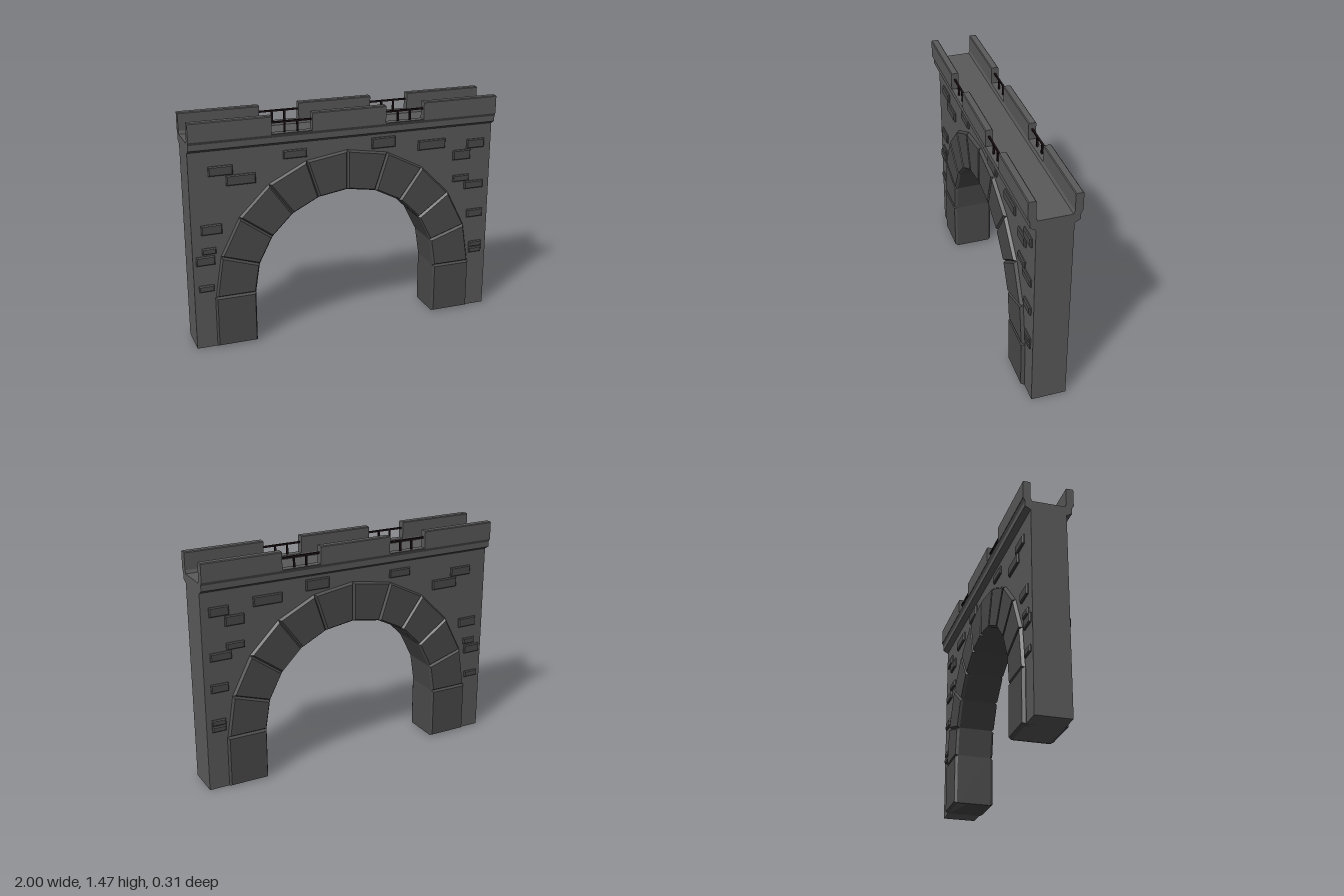
import * as THREE from 'three';

const stone = new THREE.MeshStandardMaterial({ color: 0x5a5a5a });
const darkStone = new THREE.MeshStandardMaterial({ color: 0x4a4a4a });
const iron = new THREE.MeshStandardMaterial({ color: 0x1c1013 });

const HALF = 0.11;                              // half the wall thickness
const SPRING = 0.335, R_IN = 0.61, R_OUT = 0.866;
const STEPS = 10;                               // stones in the arch ring

const shapeOf = (pts) => new THREE.Shape(pts.map(([x, y]) => new THREE.Vector2(x, y)));

function add(parent, name, geometry, material) {
  const mesh = new THREE.Mesh(geometry, material);
  mesh.name = name;
  parent.add(mesh);
  return mesh;
}

// Flat prism along z, centred on z = 0, with chamfered faces
function chamferedBlock(pts, depth, size, thickness) {
  const core = depth - 2 * thickness;
  return new THREE.ExtrudeGeometry(shapeOf(pts), {
    depth: core, bevelEnabled: true, bevelSegments: 1,
    bevelSize: size, bevelOffset: -size, bevelThickness: thickness,
  }).translate(0, 0, -core / 2);
}

const rect = (x0, x1, y0, y1) => [[x0, y0], [x1, y0], [x1, y1], [x0, y1]];

// Profile given as [z, y], run along x from x0 to x1
function runAlongX(profile, x0, x1) {
  return new THREE.ExtrudeGeometry(shapeOf(profile.map(([z, y]) => [-z, y])), {
    depth: x1 - x0, bevelEnabled: false,
  }).rotateY(Math.PI / 2).translate(x0, 0, 0);
}

// Point on the arch, angle measured from the right springing
const onArch = (r, i) => {
  const a = (i / STEPS) * Math.PI;
  return [r * Math.cos(a), SPRING + r * Math.sin(a)];
};

function buildWall(group) {
  const r = R_IN + 0.02;
  const pts = [[-1, 0], [-r, 0]];
  for (let i = STEPS; i >= 0; i--) pts.push(onArch(r, i));
  pts.push([r, 0], [1, 0], [1, 1.34], [-1, 1.34]);
  const geometry = new THREE.ExtrudeGeometry(shapeOf(pts), { depth: 2 * HALF, bevelEnabled: false });
  add(group, 'wall', geometry.translate(0, 0, -HALF), stone);
}

function buildArch(group) {
  const arch = new THREE.Group();
  arch.name = 'arch';
  group.add(arch);
  for (let i = 0; i < STEPS; i++) {
    const pts = [onArch(R_IN, i), onArch(R_OUT, i), onArch(R_OUT, i + 1), onArch(R_IN, i + 1)];
    add(arch, 'archStone', chamferedBlock(pts, 0.26, 0.011, 0.017), darkStone);
  }
  for (const [x0, x1] of [[-0.87, -R_IN], [R_IN, 0.87]]) {
    add(arch, 'archPier', chamferedBlock(rect(x0, x1, 0, SPRING), 0.264, 0.009, 0.017), darkStone);
  }
}

// Raised bricks as [x0, x1, y0, y1], the same on both faces
const BRICKS = [
  [-0.88, -0.73, 1.125, 1.185], [-0.773, -0.59, 1.055, 1.12], [-0.414, -0.265, 1.185, 1.238],
  [0.163, 0.323, 1.19, 1.26], [0.48, 0.67, 1.147, 1.21], [0.826, 0.95, 1.125, 1.185],
  [0.73, 0.853, 1.055, 1.12], [0.735, 0.85, 0.906, 0.95], [0.82, 0.955, 0.848, 0.9],
  [0.848, 0.96, 0.645, 0.7], [0.875, 0.965, 0.43, 0.468], [0.875, 0.965, 0.388, 0.425],
  [-0.94, -0.81, 0.757, 0.82], [-0.94, -0.853, 0.63, 0.67], [-0.98, -0.863, 0.56, 0.618],
  [-0.97, -0.875, 0.383, 0.425],
];

function buildBricks(group) {
  const bricks = new THREE.Group();
  bricks.name = 'bricks';
  group.add(bricks);
  for (const side of [1, -1]) {
    for (const b of BRICKS) {
      const brick = add(bricks, 'brick', chamferedBlock(rect(...b), 0.04, 0.006, 0.007), darkStone);
      brick.position.z = side * 0.104;
    }
  }
}

// Cornice, merlons and railings along one edge of the deck
function buildParapet(name) {
  const parapet = new THREE.Group();
  parapet.name = name;
  const cornice = [[0.1, 1.28], [HALF, 1.28], [0.145, 1.3], [0.145, 1.335],
    [0.157, 1.36], [HALF, 1.36], [0.1, 1.335]];
  add(parapet, 'cornice', runAlongX(cornice, -1, 1), stone);

  const merlon = [[HALF, 1.355], [0.157, 1.355], [0.157, 1.465], [0.152, 1.47], [0.115, 1.47], [HALF, 1.465]];
  for (const [x0, x1] of [[-1, -0.495], [-0.24, 0.24], [0.495, 1]]) {
    add(parapet, 'merlon', runAlongX(merlon, x0, x1), stone);
  }

  for (const s of [-1, 1]) {
    const rail = add(parapet, 'rail', new THREE.BoxGeometry(0.27, 0.011, 0.011), iron);
    rail.position.set(s * 0.368, 1.426, 0.134);
    for (const x of [0.327, 0.408]) {
      const post = add(parapet, 'railPost', new THREE.BoxGeometry(0.011, 0.07, 0.011), iron);
      post.position.set(s * x, 1.391, 0.134);
    }
  }
  return parapet;
}

export function createModel() {
  const group = new THREE.Group();
  group.name = 'archedBridge';
  buildWall(group);
  buildArch(group);
  buildBricks(group);
  const front = buildParapet('frontParapet');
  const back = buildParapet('backParapet');
  back.rotation.y = Math.PI;
  group.add(front, back);
  return group;
}
